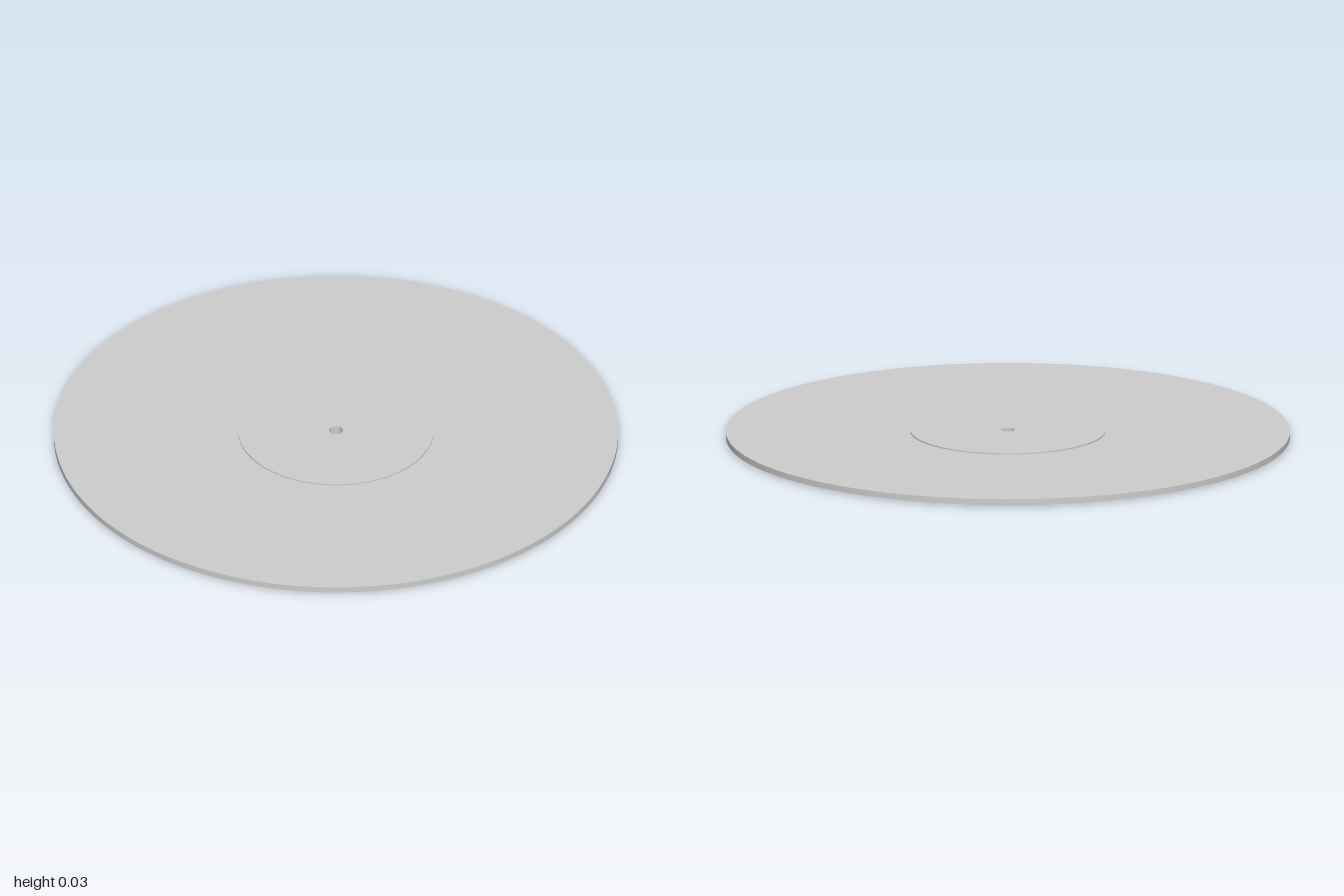
import * as THREE from 'three';
import { toCreasedNormals } from 'three/addons/utils/BufferGeometryUtils.js';

const HOLE = 0.025, SEGMENTS = 128;

// Flat ring around the spindle hole, with sharp rims
function ring(name, radius, bottom, top, material) {
  const profile = [
    [HOLE, bottom], [radius, bottom], [radius, top], [HOLE, top], [HOLE, bottom],
  ].map(([x, y]) => new THREE.Vector2(x, y));
  const geometry = toCreasedNormals(new THREE.LatheGeometry(profile, SEGMENTS), 0.6);
  const mesh = new THREE.Mesh(geometry, material);
  mesh.name = name;
  return mesh;
}

export function createModel() {
  const group = new THREE.Group();
  group.name = 'record';
  const grey = new THREE.MeshStandardMaterial({ color: 0xcccccc });
  grey.name = 'lightGrey';

  // Playing disc
  group.add(ring('disc', 1, 0.005, 0.026, grey));
  // Raised centre labels on both sides
  group.add(ring('topLabel', 0.346, 0.026, 0.031, grey));
  group.add(ring('bottomLabel', 0.346, 0, 0.005, grey));
  return group;
}
